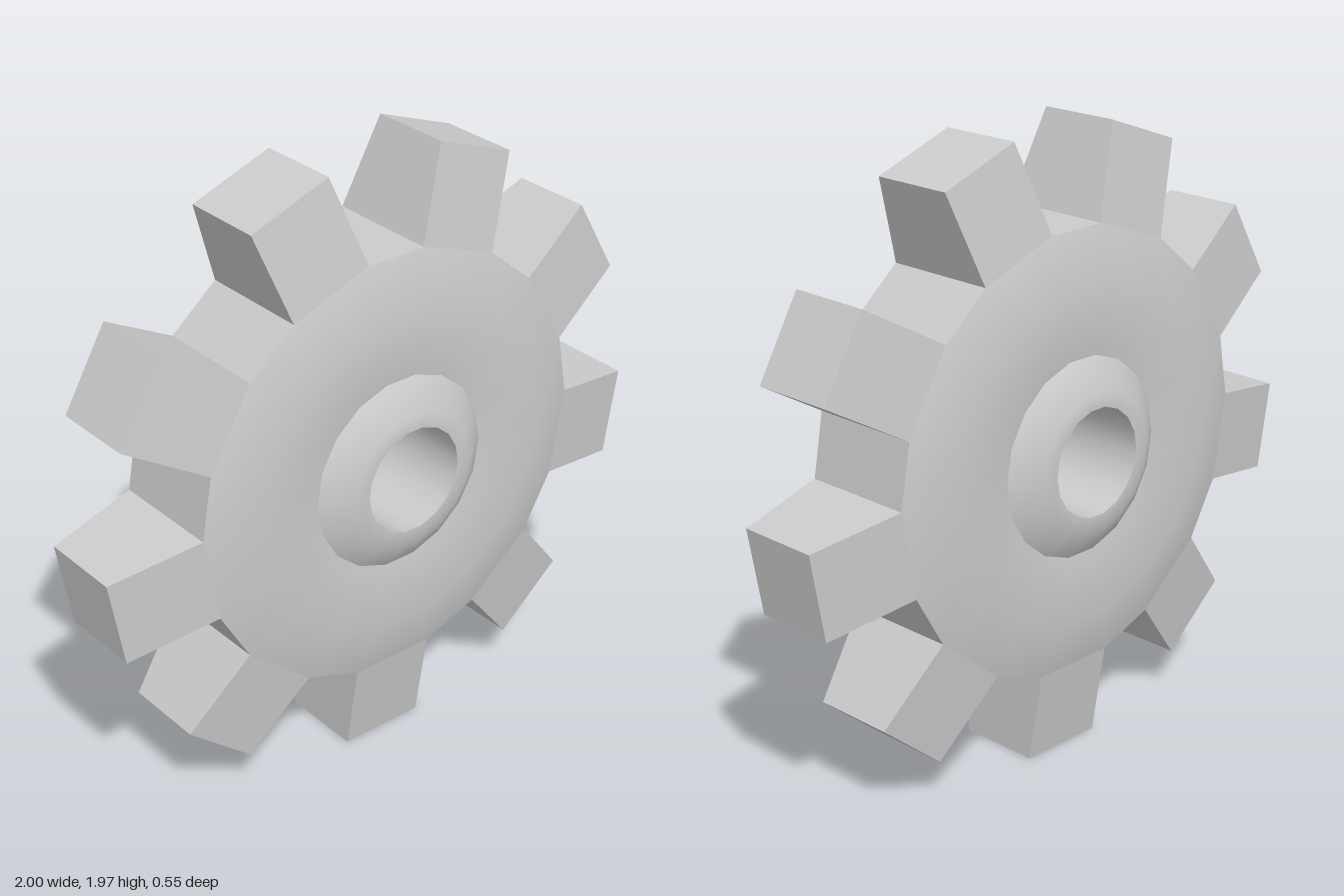
import * as THREE from 'three';
import { toCreasedNormals } from 'three/addons/utils/BufferGeometryUtils.js';

const TEETH = 9;
const CENTRE_Y = 0.99;
const ROOT = 0.69, TIP = 0.99, HALF_WIDTH = 0.143; // tooth
const RIM_Z = 0.185, TIP_Z = 0.135; // half thickness at tooth root and tip
const RIM_R = Math.hypot(ROOT, HALF_WIDTH);
const RIM_ANGLE = Math.atan2(HALF_WIDTH, ROOT);

const material = new THREE.MeshStandardMaterial({ color: 0xcccccc });
const toothAngle = (k) => -Math.PI / 2 + (k * 2 * Math.PI) / TEETH;

// Dished disc with raised hub and bore: a closed section swept through two columns per tooth
function bodyGeometry() {
  const front = [[0.172, 0.277], [0.22, 0.277], [0.315, 0.212], [0.525, 0.238], [RIM_R, RIM_Z]];
  const section = [...front, ...front.map(([r, z]) => [r, -z]).reverse()];
  const n = section.length, rimFront = front.length - 1;
  const columns = TEETH * 2, step = Math.PI / TEETH;
  const positions = [], index = [];

  for (let c = 0; c < columns; c++) {
    const side = c % 2 ? 1 : -1;
    const tooth = toothAngle(Math.floor(c / 2));
    for (const [r, z] of section) {
      const a = tooth + side * (r === RIM_R ? RIM_ANGLE : step / 2);
      positions.push(r * Math.cos(a), r * Math.sin(a), z);
    }
  }
  for (let c = 0; c < columns; c++) {
    const d = (c + 1) % columns;
    for (let i = 0; i < n; i++) {
      if (i === rimFront && c % 2 === 0) continue; // rim is covered by a tooth here
      const j = (i + 1) % n;
      const p = c * n + i, q = c * n + j, r = d * n + j, s = d * n + i;
      index.push(p, q, r, p, r, s);
    }
  }
  const geometry = new THREE.BufferGeometry();
  geometry.setAttribute('position', new THREE.Float32BufferAttribute(positions, 3));
  geometry.setIndex(index);
  return toCreasedNormals(geometry, 0.65);
}

// Tooth along +x, thinning towards its tip, open where it joins the rim
function toothGeometry() {
  const box = new THREE.BoxGeometry(TIP - ROOT, 2 * HALF_WIDTH, 2 * RIM_Z);
  box.translate((TIP + ROOT) / 2, 0, 0);
  const pos = box.attributes.position;
  for (let i = 0; i < pos.count; i++) {
    if (pos.getX(i) > (TIP + ROOT) / 2) pos.setZ(i, Math.sign(pos.getZ(i)) * TIP_Z);
  }
  const faces = Array.from(box.index.array);
  faces.splice(6, 6); // drop the inner end
  box.setIndex(faces);
  const geometry = box.toNonIndexed();
  geometry.computeVertexNormals();
  return geometry;
}

export function createModel() {
  const group = new THREE.Group();
  group.name = 'gearWheel';

  const body = new THREE.Mesh(bodyGeometry(), material);
  body.name = 'discAndHub';
  body.position.y = CENTRE_Y;
  group.add(body);

  const teeth = new THREE.Group();
  teeth.name = 'teeth';
  teeth.position.y = CENTRE_Y;
  const geometry = toothGeometry();
  for (let k = 0; k < TEETH; k++) {
    const tooth = new THREE.Mesh(geometry, material);
    tooth.name = `tooth${k + 1}`;
    tooth.rotation.z = toothAngle(k);
    teeth.add(tooth);
  }
  group.add(teeth);
  return group;
}
